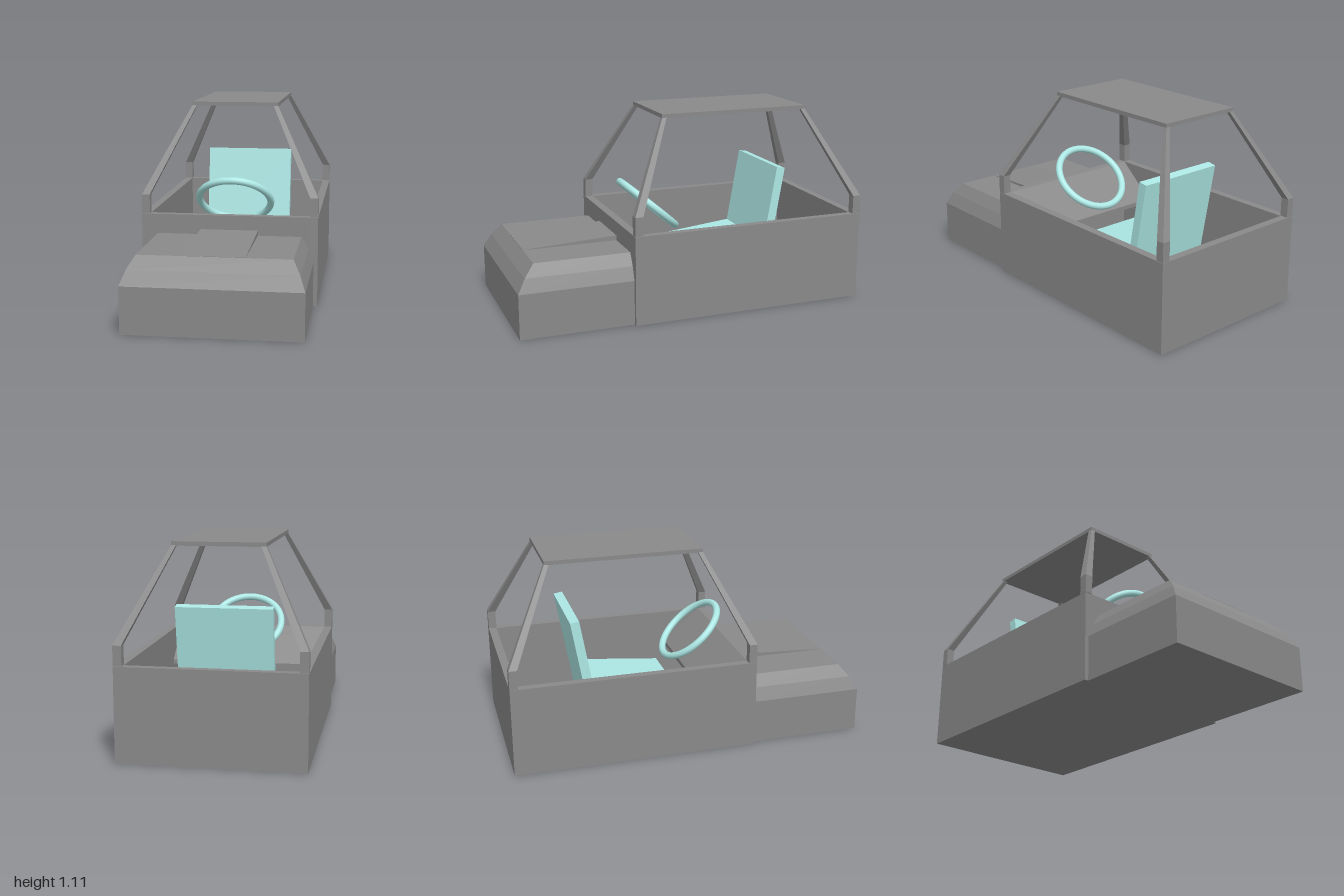
import * as THREE from 'three';

const grey = new THREE.MeshStandardMaterial({ color: 0x898989, flatShading: true });
const teal = new THREE.MeshStandardMaterial({ color: 0xace7e4, flatShading: true });
const tealSmooth = new THREE.MeshStandardMaterial({ color: 0xace7e4 });

// Closed solid through horizontal rectangles [x0, x1, z0, z1, y], bottom to top
function loft(rings) {
  const pos = [], idx = [];
  for (const [x0, x1, z0, z1, y] of rings) {
    pos.push(x0, y, z1, x1, y, z1, x1, y, z0, x0, y, z0);
  }
  for (let r = 0; r < rings.length - 1; r++) {
    for (let i = 0; i < 4; i++) {
      const a = r * 4 + i, b = r * 4 + (i + 1) % 4;
      idx.push(a, b, b + 4, a, b + 4, a + 4);
    }
  }
  const t = (rings.length - 1) * 4;
  idx.push(t, t + 1, t + 2, t, t + 2, t + 3, 0, 2, 1, 0, 3, 2);
  const indexed = new THREE.BufferGeometry();
  indexed.setAttribute('position', new THREE.Float32BufferAttribute(pos, 3));
  indexed.setIndex(idx);
  const g = indexed.toNonIndexed();
  g.computeVertexNormals();
  return g;
}

// Side profile of [z, y] points, extruded across x and centred
function sideProfile(points, width) {
  const shape = new THREE.Shape(points.map(([z, y]) => new THREE.Vector2(z, y)));
  const g = new THREE.ExtrudeGeometry(shape, { depth: width, bevelEnabled: false });
  return g.translate(0, 0, -width / 2).rotateY(-Math.PI / 2);
}

function box(w, h, d, x, y, z) {
  return new THREE.BoxGeometry(w, h, d).translate(x, y, z);
}

export function createModel() {
  const group = new THREE.Group();
  const add = (name, geometry, material = grey) => {
    const mesh = new THREE.Mesh(geometry, material);
    mesh.name = name;
    group.add(mesh);
  };

  const W = 0.49, T = 0.045, H = 0.5, front = 0.365, back = -1;
  const midZ = (front + back) / 2, length = front - back;

  // Open cabin tub
  add('cabinFloor', box(2 * W, T, length, 0, T / 2, midZ));
  for (const s of [-1, 1]) {
    add(s > 0 ? 'leftWall' : 'rightWall', box(T, H - T, length, s * (W - T / 2), (H + T) / 2, midZ));
  }
  add('frontWall', box(2 * (W - T), H - T, T, 0, (H + T) / 2, front - T / 2));
  add('backWall', box(2 * (W - T), H - T, T, 0, (H + T) / 2, back + T / 2));

  // Hood with chamfered shoulders and nose
  const hoodRing = (inset, nose, y) => [inset - 0.467, 0.467 - inset, front - 0.01, nose, y];
  add('hood', loft([
    hoodRing(0, 1, 0), hoodRing(0, 1, 0.25),
    hoodRing(0.028, 0.957, 0.325), hoodRing(0.067, 0.9, 0.392),
  ]));
  // Raised panel rising gently from the nose to the cabin
  add('hoodScoop', sideProfile([[front, 0.38], [0.9, 0.38], [0.9, 0.394], [front, 0.42]], 0.32));

  // Sloping dashboard behind the front wall
  add('dashboard', sideProfile([[0.32, 0.475], [0.32, 0.5], [0.093, 0.31], [0.093, 0.285]], 2 * (W - T)));

  // Roof and four bent, tapering posts
  const roofX = 0.245, roofFront = 0.122, roofBack = -0.755;
  add('roof', box(2 * roofX, 0.022, roofFront - roofBack, 0, 1.095, (roofFront + roofBack) / 2));
  for (const sx of [-1, 1]) {
    for (const sz of [-1, 1]) {
      const ring = (x, z, t, y) => {
        const xi = x - sx * t, zi = z - sz * t;
        return [Math.min(x, xi), Math.max(x, xi), Math.min(z, zi), Math.max(z, zi), y];
      };
      const zBase = sz > 0 ? front : back, zTop = sz > 0 ? roofFront : roofBack;
      add((sz > 0 ? 'front' : 'back') + (sx > 0 ? 'Left' : 'Right') + 'Post', loft([
        ring(sx * W, zBase, T, H + 0.002), ring(sx * W, zBase, T, 0.607),
        ring(sx * roofX, zTop, 0.026, 1.086),
      ]));
    }
  }

  // Seat: cushion dipping slightly to the front, back leaning rearwards
  add('seatCushion', sideProfile([[-0.51, 0.05], [-0.01, 0.05], [-0.01, 0.268], [-0.51, 0.32]], 0.52), teal);
  add('seatBack', sideProfile([[-0.51, 0.06], [-0.46, 0.069], [-0.58, 0.758], [-0.63, 0.749]], 0.52), teal);

  // Steering wheel
  const wheel = new THREE.TorusGeometry(0.205, 0.02, 16, 64);
  wheel.rotateX(0.855).translate(0, 0.546, 0.122);
  add('steeringWheel', wheel, tealSmooth);

  return group;
}
